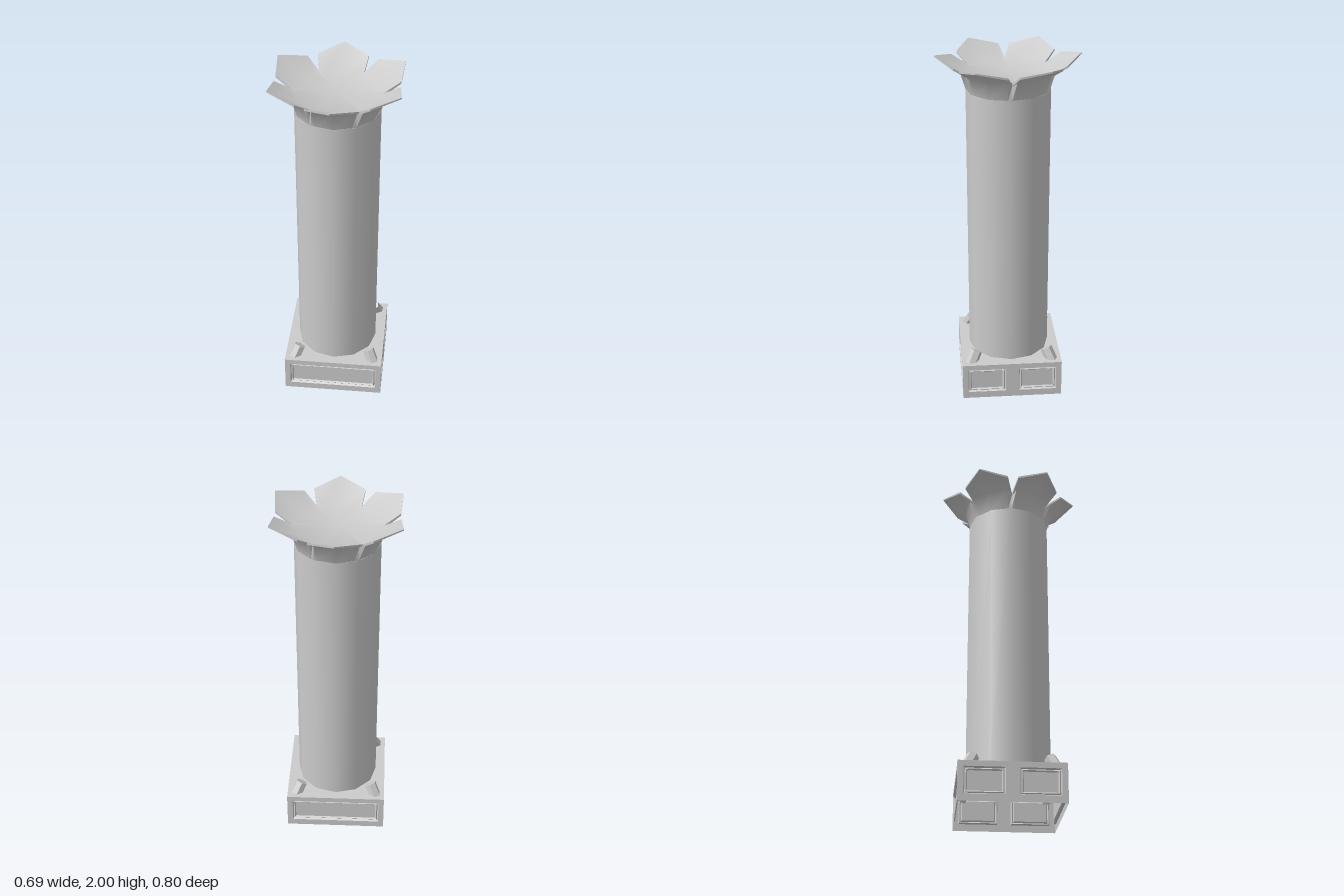
import * as THREE from 'three';
import { toCreasedNormals } from 'three/addons/utils/BufferGeometryUtils.js';

const HALF = 0.29, BASE_H = 0.22, RADIUS = 0.235;
const material = new THREE.MeshStandardMaterial({ color: 0xcccccc, side: THREE.DoubleSide });
const flat = new THREE.MeshStandardMaterial({ color: 0xcccccc, side: THREE.DoubleSide, flatShading: true });

function addMesh(parent, name, geometry, mat = material) {
  const mesh = new THREE.Mesh(geometry, mat);
  mesh.name = name;
  parent.add(mesh);
  return mesh;
}

// Joins rings of points (bottom to top) into a skin; the last ring may be closed with a centre point
function loft(rings, capCentre) {
  const pos = [];
  const tri = (...pts) => pts.forEach((p) => pos.push(p.x, p.y, p.z));
  const n = rings[0].length;
  for (let k = 0; k < rings.length - 1; k++) {
    for (let i = 0; i < n; i++) {
      const j = (i + 1) % n;
      const [a, b, c, d] = [rings[k][i], rings[k][j], rings[k + 1][j], rings[k + 1][i]];
      tri(a, b, c);
      tri(a, c, d);
    }
  }
  if (capCentre) {
    const last = rings[rings.length - 1];
    last.forEach((p, i) => tri(p, last[(i + 1) % n], capCentre));
  }
  const g = new THREE.BufferGeometry();
  g.setAttribute('position', new THREE.Float32BufferAttribute(pos, 3));
  return g;
}

// One wall of the plinth with framed, recessed panels given as [x0, x1]
function makeWall(name, panels) {
  const wall = new THREE.Group();
  wall.name = name;
  const y0 = 0.04, y1 = 0.188;
  const shape = new THREE.Shape([[-HALF, 0], [HALF, 0], [HALF, BASE_H], [-HALF, BASE_H]]
    .map(([x, y]) => new THREE.Vector2(x, y)));
  const frame = [[0, 0], [0.006, -0.011], [0.012, -0.006], [0.019, -0.013]]; // inset, depth
  panels.forEach(([x0, x1]) => {
    const rect = ([inset, depth]) => [
      new THREE.Vector3(x0 + inset, y0 + inset, depth), new THREE.Vector3(x1 - inset, y0 + inset, depth),
      new THREE.Vector3(x1 - inset, y1 - inset, depth), new THREE.Vector3(x0 + inset, y1 - inset, depth)];
    shape.holes.push(new THREE.Path(rect([0, 0]).map((p) => new THREE.Vector2(p.x, p.y)).reverse()));
    const centre = new THREE.Vector3((x0 + x1) / 2, (y0 + y1) / 2, -0.013);
    addMesh(wall, 'panel', loft(frame.map(rect), centre), flat);
  });
  addMesh(wall, 'wallFace', new THREE.ShapeGeometry(shape), flat);
  return wall;
}

function makePlinth() {
  const plinth = new THREE.Group();
  plinth.name = 'plinth';
  const wide = [[-0.258, 0.258]], pair = [[-0.258, -0.038], [0.038, 0.258]];
  ['frontWall', 'leftWall', 'backWall', 'rightWall'].forEach((name, i) => {
    const wall = makeWall(name, i % 2 ? pair : wide);
    const a = i * Math.PI / 2;
    wall.position.set(Math.sin(a) * HALF, 0, Math.cos(a) * HALF);
    wall.rotation.y = a;
    plinth.add(wall);
  });
  // Top slab with an opening for the hollow shaft
  const slab = new THREE.Shape([[-1, -1], [1, -1], [1, 1], [-1, 1]]
    .map(([x, y]) => new THREE.Vector2(x * HALF, y * HALF)));
  const hole = [];
  for (let i = 0; i < 12; i++) {
    const a = -i * Math.PI / 6;
    hole.push(new THREE.Vector2(RADIUS * Math.cos(a), RADIUS * Math.sin(a)));
  }
  slab.holes.push(new THREE.Path(hole));
  const top = addMesh(plinth, 'plinthTop', new THREE.ShapeGeometry(slab), flat);
  top.rotation.x = -Math.PI / 2;
  top.position.y = BASE_H;
  return plinth;
}

// Flared crown of six pointed petals around a flat top
function makeCapital() {
  const shoulder = THREE.MathUtils.degToRad(24.7);
  // Each ring: [radius, height] at the notch, shoulder and tip of a petal
  const edge = RADIUS * Math.cos(Math.PI / 12);
  const profile = [
    [[RADIUS, 1.81], [edge, 1.81], [RADIUS, 1.81]],
    [[0.242, 1.89], [0.268, 1.915], [0.265, 1.91]],
    [[0.245, 1.898], [0.335, 1.955], [0.4, 1.992]],
    [[0.245, 1.91], [0.3355, 1.967], [0.4, 2.0]],
    [[0.24, 1.908], [0.238, 1.908], [0.228, 1.908]],
  ];
  const rings = profile.map(([notch, side, tip]) => {
    const ring = [];
    for (let i = 0; i < 6; i++) {
      const mid = i * Math.PI / 3;
      [[notch, -Math.PI / 6], [side, -shoulder], [tip, 0], [side, shoulder]].forEach(([[r, y], da]) => {
        ring.push(new THREE.Vector3(r * Math.sin(mid + da), y, r * Math.cos(mid + da)));
      });
    }
    return ring;
  });
  return toCreasedNormals(loft(rings, new THREE.Vector3(0, 1.908, 0)), 0.85);
}

export function createModel() {
  const model = new THREE.Group();
  model.name = 'column';
  model.add(makePlinth());

  const shaft = new THREE.CylinderGeometry(RADIUS, RADIUS, 1.81 - BASE_H, 12, 1, true);
  addMesh(model, 'shaft', shaft).position.y = (1.81 + BASE_H) / 2;
  addMesh(model, 'petalCapital', makeCapital());

  // Six-sided studs leaning in from the plinth corners
  const up = new THREE.Vector3(0, 1, 0);
  for (const sx of [-1, 1]) {
    for (const sz of [-1, 1]) {
      const foot = new THREE.Vector3(sx * 0.255, 0.165, sz * 0.255);
      const head = new THREE.Vector3(sx * 0.206, 0.272, sz * 0.206);
      const axis = head.clone().sub(foot);
      const stud = addMesh(model, 'cornerStud', new THREE.CylinderGeometry(0.035, 0.035, axis.length(), 6), flat);
      stud.position.copy(foot).add(head).multiplyScalar(0.5);
      stud.quaternion.setFromUnitVectors(up, axis.normalize());
    }
  }
  return model;
}
